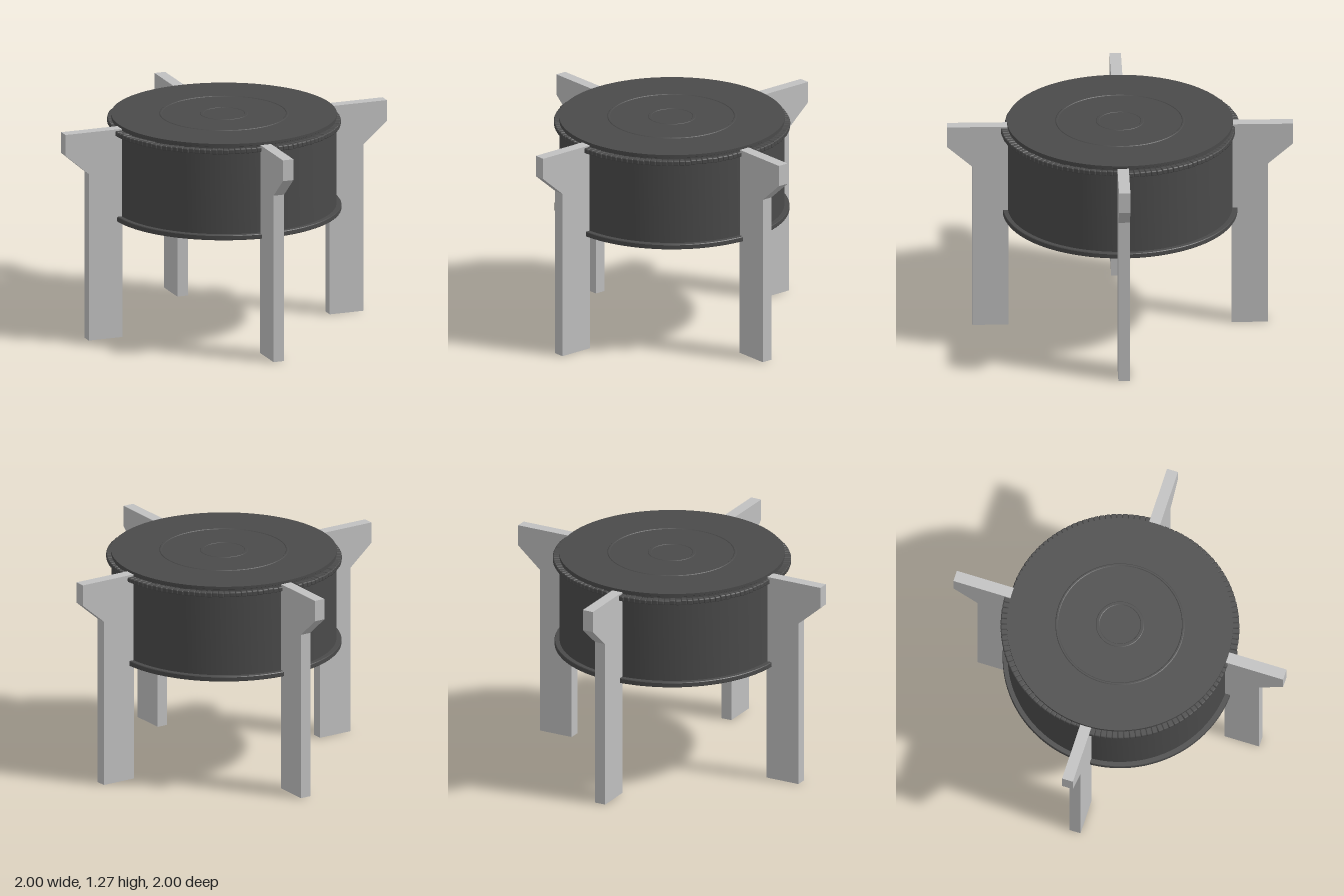
import * as THREE from 'three';
import { mergeGeometries, toCreasedNormals } from 'three/addons/utils/BufferGeometryUtils.js';
import { RoundedBoxGeometry } from 'three/addons/geometries/RoundedBoxGeometry.js';

const darkMetal = new THREE.MeshStandardMaterial({ name: 'darkMetal', color: 0x4a4a4a, side: THREE.DoubleSide });
const paleStone = new THREE.MeshStandardMaterial({ name: 'paleStone', color: 0xc0c0c0 });

function addMesh(group, name, geometry, material) {
  const mesh = new THREE.Mesh(geometry, material);
  mesh.name = name;
  group.add(mesh);
  return mesh;
}

// Revolve [radius, y] pairs, keeping the corners sharp
function revolve(points) {
  const profile = points.map(([r, y]) => new THREE.Vector2(r, y));
  return toCreasedNormals(new THREE.LatheGeometry(profile, 96), 0.5);
}

export function createModel() {
  const model = new THREE.Group();
  model.name = 'drumOnLegs';

  // Thin drum wall, open underneath
  addMesh(model, 'drumWall', revolve([[0.65, 0.7], [0.65, 1.25]]), darkMetal);

  // Lid with two shallow circular ridges
  addMesh(model, 'lid', revolve([
    [0.65, 1.25], [0.653, 1.252], [0.653, 1.267], [0.374, 1.267], [0.37, 1.27], [0.362, 1.27],
    [0.358, 1.267], [0.14, 1.267], [0.137, 1.269], [0.122, 1.269], [0.119, 1.267], [0, 1.267],
  ]), darkMetal);

  // Flange round the bottom edge
  addMesh(model, 'bottomRim', revolve([
    [0.645, 0.695], [0.676, 0.695], [0.679, 0.699], [0.679, 0.721],
    [0.676, 0.725], [0.645, 0.725], [0.645, 0.695],
  ]), darkMetal);

  // Four bead arcs between the legs, each drawing inward along its length
  let seed = 7;
  const jitter = () => (seed = (seed * 16807) % 2147483647) / 2147483647 - 0.5;
  const count = 30;
  for (let k = 0; k < 4; k++) {
    const beads = [];
    for (let i = 0; i < count; i++) {
      const t = i / (count - 1);
      const angle = k * Math.PI / 2 + 0.065 + t * (Math.PI / 2 - 0.13);
      const radius = 0.666 - 0.026 * t * t;
      const bead = new RoundedBoxGeometry(0.05, 0.03 + 0.004 * jitter(), 0.034, 1, 0.007);
      bead.rotateY(angle + 0.1 * jitter());
      bead.translate(radius * Math.cos(angle), 1.225 + 0.003 * jitter(), -radius * Math.sin(angle));
      beads.push(bead);
    }
    addMesh(model, 'beadArc' + (k + 1), mergeGeometries(beads), darkMetal);
  }

  // Four flat legs, flaring outward at the top
  const outline = [[0.645, 0], [0.855, 0], [0.855, 1], [1, 1.125], [1, 1.25], [0.645, 1.25]];
  const legShape = new THREE.Shape(outline.map(([x, y]) => new THREE.Vector2(x, y)));
  const legGeometry = new THREE.ExtrudeGeometry(legShape, { depth: 0.066, bevelEnabled: false });
  legGeometry.translate(0, 0, -0.033);
  ['leftLeg', 'backLeg', 'rightLeg', 'frontLeg'].forEach((name, k) => {
    addMesh(model, name, legGeometry, paleStone).rotation.y = k * Math.PI / 2;
  });

  return model;
}
